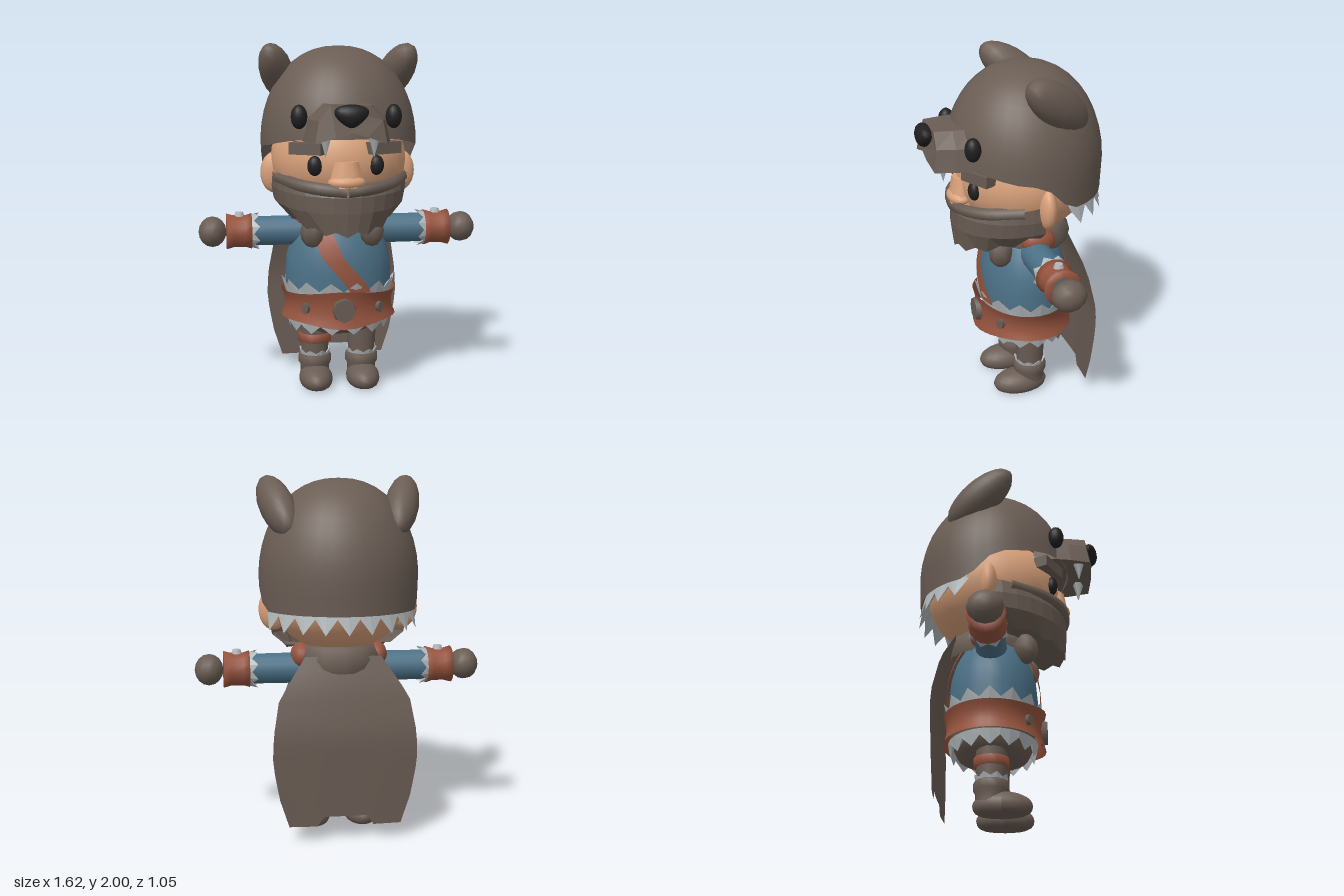
import * as THREE from 'three';
import { mergeVertices } from 'three/addons/utils/BufferGeometryUtils.js';

const { sin, cos, PI, abs, sqrt, max, pow } = Math;
const CZ = -0.09; // depth of the body axis

const mat = (name, color, side = THREE.FrontSide) => {
  const m = new THREE.MeshStandardMaterial({ color, side });
  m.name = name;
  return m;
};

// Piecewise linear lookup in [[x, y], ...]
const table = (pts, x) => {
  if (x <= pts[0][0]) return pts[0][1];
  for (let i = 1; i < pts.length; i++) {
    const [a, p] = pts[i - 1], [b, q] = pts[i];
    if (x <= b) return p + (q - p) * (x - a) / (b - a);
  }
  return pts[pts.length - 1][1];
};

// Surface from fn(u, v) -> [x, y, z]; v runs downwards
function grid(fn, nu, nv, flat = false) {
  const pos = [], idx = [], w = nv + 1;
  for (let i = 0; i <= nu; i++) for (let j = 0; j <= nv; j++) pos.push(...fn(i / nu, j / nv, i));
  for (let i = 0; i < nu; i++) for (let j = 0; j < nv; j++) {
    const a = i * w + j;
    idx.push(a, a + 1, a + w + 1, a, a + w + 1, a + w);
  }
  let g = new THREE.BufferGeometry();
  g.setAttribute('position', new THREE.Float32BufferAttribute(pos, 3));
  g.setIndex(idx);
  g = flat ? g.toNonIndexed() : mergeVertices(g, 1e-4);
  g.computeVertexNormals();
  return g;
}

// Ring of faceted fur points around the y axis
function furRing(n, rx, rz, yBase, yTip, out, a0 = 0, a1 = 2 * PI) {
  const down = yTip < yBase;
  return grid((u, v, i) => {
    const row = down ? v : 1 - v, tip = i % 2;
    const a = a0 + (a1 - a0) * u;
    let r = 0, y = yBase;
    if (row === 0.5) { r = tip ? out : out * 0.3; y = yBase + (yTip - yBase) * (tip ? 1 : 0.4); }
    if (row === 1) r = -0.04;
    return [(rx + r) * sin(a), y, (rz + r) * cos(a)];
  }, 2 * n, 2, true);
}

const lathe = (pts, seg = 24) => new THREE.LatheGeometry(pts.map(p => new THREE.Vector2(...p)), seg);
const ball = (w = 16, h = 12) => new THREE.SphereGeometry(1, w, h);

export function createModel() {
  const model = new THREE.Group();
  const brown = mat('brownFur', 0x6a5d54, THREE.DoubleSide);
  const skin = mat('skin', 0xd9a17b);
  const rust = mat('rustLeather', 0x96533e, THREE.DoubleSide);
  const blue = mat('blueCloth', 0x4c7187);
  const grey = mat('paleFur', 0xb2b8bb, THREE.DoubleSide);
  const black = mat('black', 0x202020);

  const add = (name, geo, m, p = [0, 0, 0], s = [1, 1, 1], parent = model) => {
    const mesh = new THREE.Mesh(geo, m);
    mesh.name = name;
    mesh.position.set(...p);
    mesh.scale.set(...s);
    parent.add(mesh);
    return mesh;
  };

  // Hood: dome with a rim that drops towards the back
  const step = THREE.MathUtils.smoothstep;
  add('hood', grid((u, v) => {
    const a = u * 2 * PI, z0 = CZ + 0.44 * cos(a);
    const rim = 1.27 + 0.16 * step(z0, -0.25, -0.02) + 0.06 * step(z0, -0.02, 0.35);
    const y = 1.985 - (1.985 - rim) * (1 - cos(v * PI / 2));
    const k = y > 1.45 ? pow(max(0, 1 - ((y - 1.45) / 0.535) ** 2), 0.45) : 1 - (1.45 - y) * 0.1;
    return [0.447 * k * sin(a), y, CZ + 0.44 * k * cos(a)];
  }, 32, 12), brown);
  add('hoodTrim', furRing(9, 0.42, 0.41, 1.31, 1.17, 0.03, PI * 0.6, PI * 1.4), grey, [0, 0, CZ]);

  // Snout: tapered extrusion
  const outline = [[-0.23, 1.48], [-0.1, 1.515], [0, 1.54], [0.1, 1.515], [0.23, 1.48],
    [0.205, 1.6], [0.13, 1.68], [-0.13, 1.68], [-0.205, 1.6]].map(p => new THREE.Vector2(...p));
  const snout = new THREE.ExtrudeGeometry(new THREE.Shape(outline),
    { depth: 0.34, steps: 3, bevelEnabled: false });
  const sp = snout.attributes.position;
  for (let i = 0; i < sp.count; i++) {
    const x = sp.getX(i), y = sp.getY(i), t = sp.getZ(i) / 0.34;
    sp.setXYZ(i, x * (1.08 - 0.25 * t * t), y, 0.15 + t * (0.345 - 0.2 * (y - 1.5) - 0.5 * x * x));
  }
  snout.computeVertexNormals();
  add('snout', snout, brown);
  const noseGeo = ball();
  const np = noseGeo.attributes.position;
  for (let i = 0; i < np.count; i++) np.setX(i, np.getX(i) * (1 + 0.45 * np.getY(i)));
  noseGeo.computeVertexNormals();
  add('hoodNose', noseGeo, black, [0, 1.625, 0.475], [0.085, 0.062, 0.05]);

  // Head and face
  add('head', ball(24, 16), skin, [0, 1.35, CZ], [0.39, 0.33, 0.385]);
  const faceNose = new THREE.CylinderGeometry(0.065, 0.1, 0.14, 8, 3);
  faceNose.rotateY(PI / 8);
  add('nose', faceNose, skin, [0, 1.295, 0.275], [1.08, 1, 0.75]);
  add('noseTip', ball(), skin, [0, 1.25, 0.285], [0.105, 0.045, 0.07]);

  // Beard: curved shell that closes under the chin
  const rows = [ // [side y, y change at front, x radius, z radius]
    [1.285, -0.07, 0.385, 0.395], [1.2, -0.03, 0.39, 0.42], [1.12, -0.04, 0.375, 0.42],
    [1.07, -0.11, 0.30, 0.41], [1.06, -0.02, 0.12, 0.15]];
  add('beard', grid((u, v, i) => {
    const a = (u - 0.5) * PI * 1.02, f = max(0, cos(a));
    const j = Math.round(v * 4), [y, dy, rx, rz] = rows[j];
    const jag = j === 3 ? (i % 2 ? 0.015 : -0.012) : 0;
    return [rx * sin(a), y + dy * f + jag, CZ + rz * f];
  }, 16, 4, true), brown);

  // Parts mirrored on the head
  for (const s of [-1, 1]) {
    const side = s > 0 ? 'left' : 'right';
    const path = new THREE.CatmullRomCurve3([[0, 1.2, 0.32], [0.13, 1.215, 0.3], [0.26, 1.23, 0.2],
      [0.355, 1.25, 0.02]].map(([x, y, z]) => new THREE.Vector3(s * x, y, z)));
    add(side + 'Moustache', new THREE.TubeGeometry(path, 10, 0.035, 6), brown);
    add(side + 'Ear', ball(), skin, [s * 0.365, 1.265, -0.1], [0.085, 0.12, 0.05]);
    add(side + 'Eye', ball(), black, [s * 0.17, 1.34, 0.25], [0.042, 0.055, 0.034]);
    const brow = add(side + 'Brow', new THREE.BoxGeometry(0.19, 0.065, 0.08), brown, [s * 0.21, 1.435, 0.235]);
    brow.rotation.y = s * 0.5;
    const fang = add(side + 'Fang', new THREE.ConeGeometry(0.035, 0.12, 6), grey, [s * 0.13, 1.46, 0.41]);
    fang.rotation.x = PI;
    add(side + 'HoodEye', ball(), black, [s * 0.258, 1.61, 0.28], [0.045, 0.066, 0.045]);
    const ear = add(side + 'HoodEar', ball(), brown, [s * 0.345, 1.835, -0.155], [0.095, 0.11, 0.235]);
    ear.quaternion.setFromUnitVectors(new THREE.Vector3(0, 0, 1),
      new THREE.Vector3(s * 0.06, 0.14, 0.18).normalize());
  }

  // Tunic and trousers
  const torso = [[0.58, 0.31], [0.7, 0.312], [0.8, 0.3], [0.9, 0.265], [1.0, 0.2], [1.07, 0.1]];
  add('tunic', lathe(torso.map(([y, r]) => [r, y])), blue, [0, 0, CZ], [1, 1, 0.8]);
  add('trousers', lathe([[0, 0.325], [0.14, 0.325], [0.23, 0.36], [0.27, 0.43], [0.28, 0.6]]),
    brown, [0, 0, CZ], [1, 1, 0.85]);

  // Belt with flared edges, taller at the front
  add('belt', grid((u, v) => {
    const a = u * 2 * PI, f = pow(max(0, cos(a)), 6), k = 2 * v - 1;
    const r = 0.315 + 0.022 * k * k;
    return [r * sin(a), 0.505 - k * (0.08 + 0.03 * f), CZ + (r * 0.83 + 0.015 * f) * cos(a)];
  }, 32, 6), rust);
  add('upperBeltTrim', furRing(14, 0.31, 0.255, 0.57, 0.66, 0.025), grey, [0, 0, CZ]);
  add('lowerBeltTrim', furRing(14, 0.305, 0.25, 0.43, 0.345, -0.02), grey, [0, 0, CZ]);
  const disc = new THREE.CylinderGeometry(0.9, 1, 1, 8).rotateX(PI / 2);
  add('buckle', disc, brown, [0, 0.505, 0.195], [0.07, 0.075, 0.035]);
  for (const s of [-1, 1]) {
    const stud = add('beltStud', disc, brown, [s * 0.212, 0.505, 0.115], [0.026, 0.033, 0.03]);
    stud.rotation.y = s * 0.65;
  }

  // Strap across the chest and back
  for (const f of [1, -1]) {
    add(f > 0 ? 'chestStrap' : 'backStrap', grid((u, v) => {
      const y = 1.03 - 0.43 * v;
      const x = table([[0.6, 0.1], [0.67, 0.055], [0.8, -0.06], [0.95, -0.12], [1.03, -0.14]], y)
        + f * (u - 0.5) * 0.12;
      const r = table(torso, y) + 0.015;
      return [x, y, CZ + f * (0.8 * sqrt(max(0.002, r * r - x * x)) + 0.008)];
    }, 4, 12), rust);
  }

  // Collar and cape
  add('collar', lathe([[0.26, 0.93], [0.28, 1.0], [0.24, 1.06], [0.18, 1.08]], 12), brown, [0, 0, CZ - 0.03], [0.85, 1, 0.88]);
  add('cape', grid((u, v) => {
    const t = 2 * u - 1;
    const hem = abs(t) < 0.5 ? 0.14 : 0.085;
    const y = 1.02 + (hem - 1.02) * v;
    const w = table([[0.08, 0.31], [0.25, 0.365], [0.45, 0.4], [0.6, 0.395], [0.8, 0.36], [0.92, 0.28], [1.02, 0.21]], y);
    const z = table([[0.1, -0.385], [0.6, -0.4], [0.85, -0.35], [1.02, -0.29]], y);
    return [-t * w, y, z - 0.012 * cos(t * PI / 2)];
  }, 16, 12), brown);

  for (const s of [-1, 1]) {
    const side = s > 0 ? 'left' : 'right';
    add(side + 'CapeKnot', ball(8, 6), brown, [s * 0.17, 0.945, 0.1], [0.07, 0.09, 0.07]);
    add(side + 'ShoulderPad', ball(), rust, [s * 0.21, 1.0, -0.11], [0.065, 0.075, 0.1]);

    // Arm, built along its own y axis and turned outwards
    const arm = new THREE.Group();
    arm.name = side + 'Arm';
    arm.position.set(0, 0.925, CZ);
    arm.rotation.z = -s * PI / 2;
    model.add(arm);
    add('sleeve', new THREE.CylinderGeometry(0.085, 0.088, 0.4, 16), blue, [0, 0.33, 0], undefined, arm);
    add('cuffTrim', furRing(8, 0.095, 0.095, 0.515, 0.46, 0.014), grey, undefined, undefined, arm);
    add('cuff', lathe([[0.07, 0.505], [0.105, 0.505], [0.094, 0.54], [0.094, 0.61], [0.105, 0.65], [0.06, 0.65]], 16),
      rust, undefined, undefined, arm);
    const stud = add('cuffStud', new THREE.CylinderGeometry(0.022, 0.03, 0.025, 10), grey, [-s * 0.1, 0.575, 0], undefined, arm);
    stud.rotation.z = s * PI / 2;
    add('hand', ball(12, 8), brown, [0, 0.73, 0], [0.09, 0.08, 0.1], arm);

    // Leg and boot
    const leg = new THREE.Group();
    leg.name = side + 'Leg';
    leg.position.set(s * 0.14, 0, CZ);
    model.add(leg);
    add('trouserLeg', new THREE.CylinderGeometry(0.09, 0.078, 0.25, 14), brown, [0, 0.29, 0], undefined, leg);
    add('bootTrim', furRing(8, 0.085, 0.085, 0.18, 0.215, 0.01), grey, undefined, undefined, leg);
    add('bootShaft', lathe([[0.085, 0.06], [0.085, 0.11], [0.097, 0.13], [0.097, 0.17], [0.08, 0.19], [0, 0.19]], 16),
      brown, undefined, undefined, leg);
    const boot = ball(18, 14);
    const bp = boot.attributes.position;
    for (let i = 0; i < bp.count; i++) {
      bp.setXYZ(i, bp.getX(i) * 0.098, max(0, 0.045 + bp.getY(i) * 0.08), 0.06 + bp.getZ(i) * 0.162);
    }
    boot.computeVertexNormals();
    add('boot', boot, brown, undefined, undefined, leg);
    if (s < 0) {
      add('kneeBand', lathe([[0.075, 0.26], [0.097, 0.26], [0.097, 0.31], [0.075, 0.31]], 16),
        rust, undefined, undefined, leg);
    }
  }
  return model;
}
